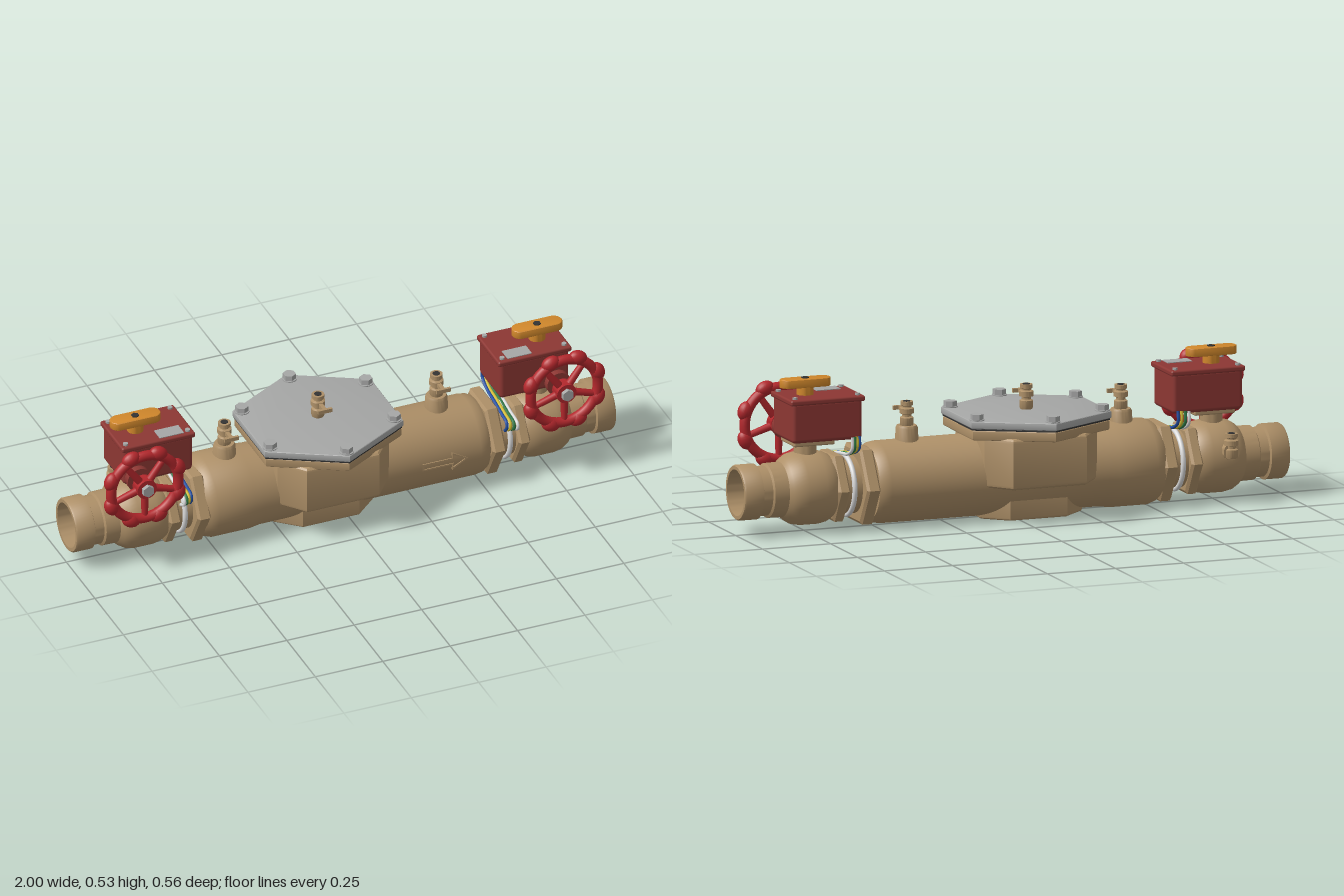
import * as THREE from 'three';
import { toCreasedNormals } from 'three/addons/utils/BufferGeometryUtils.js';
import { RoundedBoxGeometry } from 'three/addons/geometries/RoundedBoxGeometry.js';

const AXIS = 0.153; // height of the pipe centre line
const COVER_X = -0.067;

export function createModel() {
  const root = new THREE.Group();
  root.name = 'backflowValve';
  const mat = (name, color) => {
    const m = new THREE.MeshStandardMaterial({ color });
    m.name = name;
    return m;
  };
  const bronze = mat('bronze', 0xae9068);
  const boxRed = mat('boxRed', 0x8c3733);
  const wheelRed = mat('wheelRed', 0xb3272c);
  const orange = mat('orange', 0xd0872b);
  const steel = mat('steel', 0xa6a7a6);
  const dark = mat('dark', 0x333333);
  const white = mat('white', 0xdcdcdc);
  const blue = mat('blue', 0x2350a5);
  const yellow = mat('yellow', 0xd2bc35);
  const green = mat('green', 0x2f7846);

  const add = (parent, name, geo, material, x = 0, y = 0, z = 0) => {
    const m = new THREE.Mesh(geo, material);
    m.name = name;
    m.position.set(x, y, z);
    parent.add(m);
    return m;
  };
  const group = (parent, name) => {
    const g = new THREE.Group();
    g.name = name;
    parent.add(g);
    return g;
  };
  // Turned profile of [radius, height] pairs, listed from the bottom up
  const lathe = (pts, seg = 48) => toCreasedNormals(
    new THREE.LatheGeometry(pts.map(p => new THREE.Vector2(p[0], p[1])), seg), 0.6);
  const latheX = (pts, seg) => lathe(pts, seg).rotateZ(-Math.PI / 2);
  const cyl = (r, h, seg = 24) => toCreasedNormals(new THREE.CylinderGeometry(r, r, h, seg), 0.6);
  const hexRing = (r, w) => latheX([[0, -w / 2], [r - 0.012, -w / 2], [r, -w / 2 + 0.008],
    [r, w / 2 - 0.008], [r - 0.012, w / 2], [0, w / 2]], 6);
  // Upright prism over an outline in x and z
  const prism = (outline, y0, y1, bevel) => {
    const geo = new THREE.ExtrudeGeometry(new THREE.Shape(outline.map(p => new THREE.Vector2(p[0], p[1]))), {
      depth: y1 - y0 - 2 * bevel, bevelThickness: bevel, bevelSize: bevel,
      bevelOffset: -bevel, bevelSegments: 3, curveSegments: 12,
    });
    return toCreasedNormals(geo.rotateX(-Math.PI / 2).translate(0, y0 + bevel, 0), 0.5);
  };
  const octagon = (x, z, cx, cz) => [[x, -cz], [x, cz], [cx, z], [-cx, z], [-x, cz], [-x, -cz], [-cx, -z], [cx, -z]];
  const hexagon = k => [[0.257 * k, -0.142 * k], [0.257 * k, 0.142 * k], [0, 0.282 * k],
    [-0.257 * k, 0.142 * k], [-0.257 * k, -0.142 * k], [0, -0.282 * k]];

  // Main body with a collar at each end
  const body = group(root, 'mainBody');
  add(body, 'bodyBarrel', latheX([[0, -0.54], [0.128, -0.535], [0.14, -0.52], [0.149, -0.495], [0.149, -0.36],
    [0.143, -0.32], [0.142, 0.48], [0.138, 0.505], [0.128, 0.52], [0, 0.535]], 64), bronze, 0, AXIS);
  add(body, 'coverBowl', prism(octagon(0.207, 0.222, 0.135, 0.135), 0.13, 0.31, 0.016), bronze, COVER_X);
  add(body, 'bottomPad', prism(octagon(0.187, 0.118, 0.105, 0.045), 0.004, 0.13, 0.01), bronze, COVER_X);
  add(body, 'coverFlange', prism(hexagon(0.975), 0.3, 0.335, 0.006), bronze, COVER_X);
  for (const s of [-1, 1]) add(body, 'bodyCollar', hexRing(0.15, 0.05), bronze, s * 0.547, AXIS);

  // Flow arrow raised on the front of the body
  const arrow = new THREE.Shape([[-0.085, -0.013], [0.025, -0.013], [0.025, -0.034], [0.085, 0],
    [0.025, 0.034], [0.025, 0.013], [-0.085, 0.013]].map(p => new THREE.Vector2(p[0], p[1])));
  arrow.holes.push(new THREE.Path([[-0.079, -0.008], [-0.079, 0.008], [0.03, 0.008], [0.03, 0.024],
    [0.073, 0], [0.03, -0.024], [0.03, -0.008]].map(p => new THREE.Vector2(p[0], p[1]))));
  add(body, 'flowArrow', new THREE.ExtrudeGeometry(arrow, { depth: 0.008, bevelEnabled: false }),
    bronze, 0.345, AXIS + 0.002, 0.137);

  // Bolted cover plate
  const cover = group(root, 'cover');
  add(cover, 'gasket', prism(hexagon(0.985), 0.335, 0.341, 0.001), dark, COVER_X);
  add(cover, 'coverPlate', prism(hexagon(1), 0.341, 0.367, 0.005), steel, COVER_X);
  for (const [x, z] of [[0, 0.25], [0, -0.25], [0.23, 0.124], [0.23, -0.124], [-0.23, 0.124], [-0.23, -0.124]]) {
    add(cover, 'boltWasher', cyl(0.026, 0.005), steel, COVER_X + x, 0.368, z);
    add(cover, 'boltHead', cyl(0.023, 0.02, 6), steel, COVER_X + x, 0.379, z);
  }

  // Small test cock with a T-shaped lever
  const testCock = (x, y, z) => {
    const g = group(root, 'testCock');
    g.position.set(x, y, z);
    add(g, 'cockBody', lathe([[0, 0], [0.021, 0], [0.023, 0.005], [0.023, 0.03], [0.016, 0.034], [0.016, 0.042],
      [0.025, 0.045], [0.025, 0.062], [0.017, 0.066], [0.017, 0.07], [0.022, 0.073], [0.022, 0.086], [0, 0.086]], 20), bronze);
    add(g, 'cockOpening', cyl(0.013, 0.002, 16), dark, 0, 0.0865);
    add(g, 'leverStem', new THREE.BoxGeometry(0.014, 0.014, 0.05), bronze, 0, 0.053, 0.035);
    add(g, 'leverBar', new THREE.BoxGeometry(0.052, 0.014, 0.01), bronze, 0, 0.053, 0.062);
  };
  testCock(COVER_X, 0.367, 0);
  for (const x of [-0.414, 0.372]) {
    add(root, 'cockBoss', lathe([[0.042, 0], [0.038, 0.06], [0.034, 0.068], [0, 0.068]], 24), bronze, x, 0.275);
    testCock(x, 0.34, 0);
  }
  add(root, 'sideCockBoss', cyl(0.03, 0.05).rotateX(Math.PI / 2), bronze, -0.767, 0.19, -0.115);
  testCock(-0.767, 0.168, -0.135);

  // Eight-lobed handwheel facing the front
  const handwheel = (parent, x) => {
    const g = group(parent, 'handwheel');
    g.position.set(x, 0.35, 0.162);
    add(g, 'wheelRim', new THREE.TorusGeometry(0.125, 0.018, 14, 56), wheelRed);
    for (let i = 0; i < 8; i++) {
      const a = (i + 0.5) * Math.PI / 4;
      const lobe = add(g, 'wheelLobe', new THREE.SphereGeometry(1, 16, 12), wheelRed,
        0.133 * Math.cos(a), 0.133 * Math.sin(a));
      lobe.scale.set(0.026, 0.034, 0.023);
      lobe.rotation.z = a;
    }
    for (let i = 0; i < 5; i++) {
      const a = -Math.PI / 2 + i * Math.PI * 0.4;
      const spoke = add(g, 'wheelSpoke', new THREE.CylinderGeometry(0.011, 0.014, 0.1, 12), wheelRed,
        0.073 * Math.cos(a), 0.073 * Math.sin(a));
      spoke.rotation.z = a - Math.PI / 2;
    }
    const turned = (name, r, z0, z1, m, seg) =>
      add(g, name, cyl(r, z1 - z0, seg).rotateX(Math.PI / 2), m, 0, 0, (z0 + z1) / 2 - 0.162);
    turned('wheelHub', 0.036, 0.14, 0.184, wheelRed);
    turned('wheelShaft', 0.018, 0.09, 0.145, steel);
    turned('shaftBoss', 0.044, 0.09, 0.117, boxRed);
    turned('hubNut', 0.022, 0.184, 0.199, steel, 6);
  };

  // Orange indicator outline, a bar with round ends
  const bar = [];
  for (let i = 0; i <= 24; i++) {
    const a = -Math.PI / 2 + i * Math.PI / 12;
    if (i < 24) bar.push([0.03 * Math.cos(a) + (i <= 12 ? 0.062 : -0.062), 0.03 * Math.sin(a)]);
    if (i === 12) bar.push([-0.062, 0.03]);
  }

  // Shut-off valve assembly at each end; s picks the side
  for (const s of [-1, 1]) {
    const g = group(root, s > 0 ? 'leftShutoff' : 'rightShutoff');
    const valve = add(g, 'shutoffBody', latheX([[0.1, 0.5], [0.1, 0.65], [0.112, 0.665], [0.122, 0.685], [0.127, 0.71],
      [0.127, 0.775], [0.121, 0.805], [0.108, 0.826], [0.095, 0.838], [0.094, 0.89], [0.086, 0.895], [0.086, 0.928],
      [0.096, 0.932], [0.096, 0.994], [0.092, 1], [0.08, 1], [0.077, 0.85], [0, 0.85]], 56), bronze, 0, AXIS);
    if (s < 0) valve.rotation.y = Math.PI;
    add(g, 'shutoffNut', hexRing(0.132, 0.044), bronze, s * 0.648, AXIS);
    add(g, 'stemNeck', cyl(0.04, 0.08), bronze, s * 0.745, 0.275);
    add(g, 'stemFlange', new RoundedBoxGeometry(0.15, 0.02, 0.13, 2, 0.006), bronze, s * 0.735, 0.318);

    // Gear box with lid, screws and plate
    add(g, 'gearBox', new RoundedBoxGeometry(0.257, 0.143, 0.186, 3, 0.014), boxRed, s * 0.698, 0.397);
    add(g, 'boxLid', new RoundedBoxGeometry(0.272, 0.02, 0.197, 3, 0.007), boxRed, s * 0.698, 0.468);
    for (const dx of [-0.115, 0.115]) for (const z of [-0.077, 0.077]) {
      add(g, 'lidScrew', cyl(0.009, 0.008, 12), steel, s * 0.698 + dx, 0.481, z);
    }
    add(g, 'boxPlate', new THREE.BoxGeometry(0.09, 0.003, 0.052), steel, s * 0.645, 0.479, 0.06);
    add(g, 'indicatorBase', cyl(0.029, 0.03), orange, s * 0.745, 0.492);
    add(g, 'indicatorBar', prism(bar, 0.505, 0.535, 0.004), orange, s * 0.745);
    add(g, 'indicatorBolt', cyl(0.014, 0.004, 6), dark, s * 0.745, 0.536);
    handwheel(g, s * 0.778);

    // Wires from the box, over the neck and down the front
    [blue, yellow, green, white].forEach((m, i) => {
      const d = i * 0.006;
      const x = s * (0.585 + i * 0.011);
      const path = new THREE.CatmullRomCurve3([[-0.1 - d, 0.34], [-0.1 - d, 0.3], [-0.06 - d, 0.275],
        [0, 0.264], [0.07, 0.25], [0.112 + d, 0.24], [0.116 + d, 0.222], [0.1, 0.2]]
        .map(([z, y]) => new THREE.Vector3(x, y, z)));
      add(g, 'wire', new THREE.TubeGeometry(path, 40, 0.0058, 8), m);
    });
    add(g, 'wireLoop', new THREE.TorusGeometry(0.104, 0.009, 10, 48).rotateY(Math.PI / 2), white, s * 0.603, AXIS);
  }
  return root;
}
